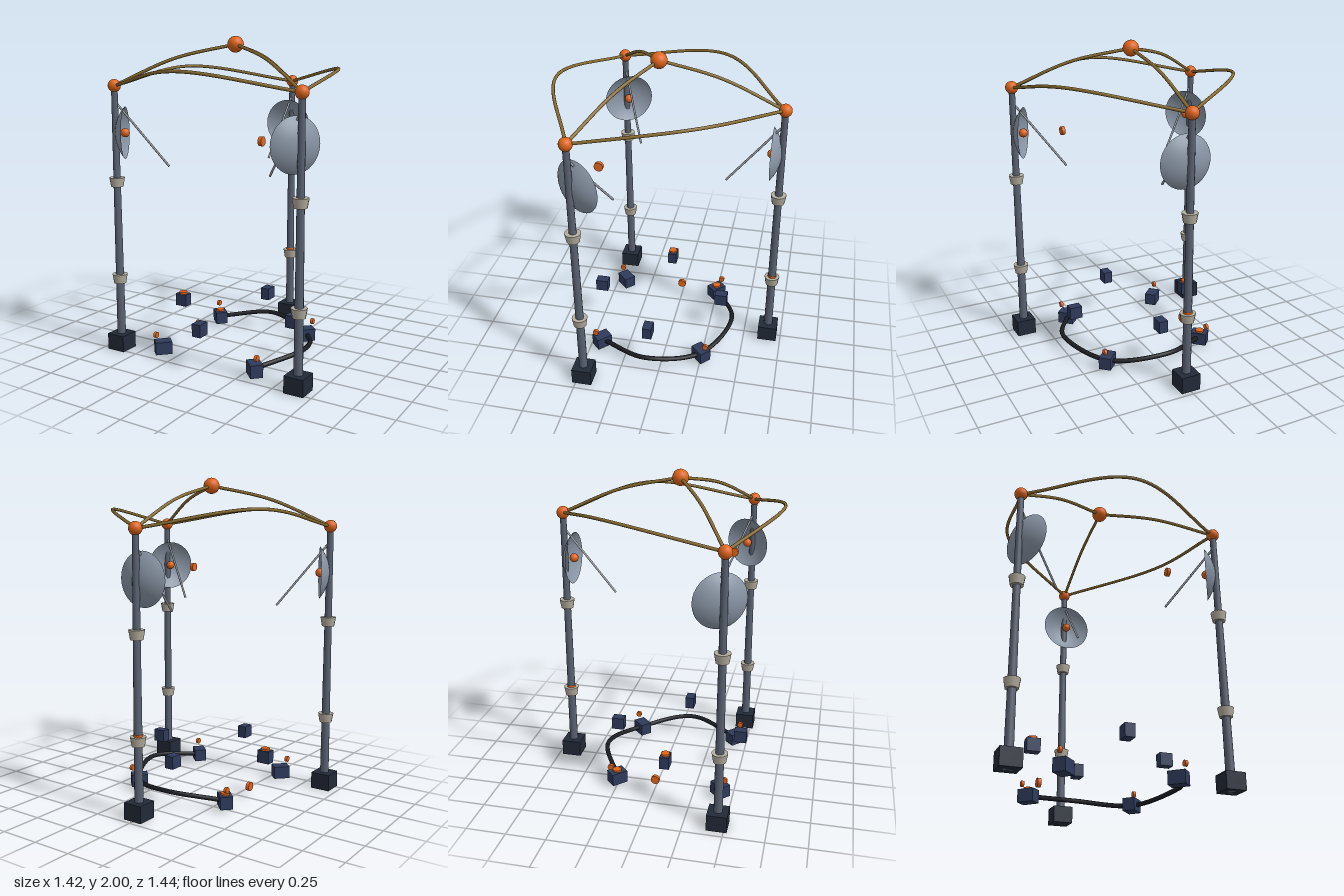
import * as THREE from 'three';

const mat = (color, side = THREE.FrontSide) => new THREE.MeshStandardMaterial({ color, side });
const V = (x, y, z) => new THREE.Vector3(x, y, z);

export function createModel() {
  const model = new THREE.Group();
  const CZ = 0.085; // z of the tripod's centre
  const orange = mat(0xe0651c), steel = mat(0x5a6272), dark = mat(0x222a38);
  const cream = mat(0xb5afa0), gold = mat(0x8a6d32), navy = mat(0x2f3b5c);
  const rodMat = mat(0x9a9ea4), cableMat = mat(0x1a1d22);
  const dishMat = mat(0x8a96a6, THREE.DoubleSide);

  const add = (name, geo, material, pos, parent = model) => {
    const m = new THREE.Mesh(geo, material);
    m.name = name;
    m.position.copy(pos);
    parent.add(m);
    return m;
  };
  const tube = (name, points, r, material, steps = 40, parent = model) =>
    add(name, new THREE.TubeGeometry(new THREE.CatmullRomCurve3(points), steps, r, 8), material, V(0, 0, 0), parent);
  // point at an angle around the centre, 0 = back, turning towards the left
  const polar = (a, r, y) => V(Math.sin(a) * r, y, CZ - Math.cos(a) * r);

  // Three masts, each with base, collars, dish and strut
  const R = 0.746, step = Math.PI * 2 / 3;
  const apex = V(0, 1.95, CZ);
  for (let i = 0; i < 3; i++) {
    const a = i * step;
    const mast = new THREE.Group();
    mast.name = 'mast';
    model.add(mast);
    const at = (inward, y) => polar(a, R - inward, y);

    add('mastBase', new THREE.BoxGeometry(0.125, 0.105, 0.125), dark, at(0, 0.0525), mast);
    add('mastPole', new THREE.CylinderGeometry(0.02, 0.028, 1.7, 12), steel, at(0, 0.85), mast);
    for (const y of [0.472, 1.1])
      add('collar', new THREE.CylinderGeometry(0.049, 0.039, 0.058, 12), cream, at(0, y), mast);
    add('topJoint', new THREE.SphereGeometry(0.04, 20, 14), orange, at(0, 1.7), mast);

    // Dish: a spherical cap opening towards the centre
    const cap = new THREE.SphereGeometry(0.25, 32, 10, 0, Math.PI * 2, 0, 0.71);
    cap.translate(0, -0.25, 0).rotateX(-Math.PI / 2).rotateY(-a);
    add('dish', cap, dishMat, at(0, 1.41), mast);
    add('dishFeed', new THREE.SphereGeometry(0.028, 16, 12), orange, at(0.06, 1.41), mast);
    tube('dishStrut', [at(0, 1.605), at(0.33, 1.2)], 0.007, rodMat, 1, mast);

    // Roof ribs: one to the apex, one bowed out to the next mast
    tube('roofRib', [at(0, 1.7), at(R / 2, 1.865), apex], 0.01, gold);
    tube('rimRib', [at(0, 1.7), polar(a + step / 2, 0.625, 1.805), polar(a + step, R, 1.7)], 0.01, gold);
  }
  add('apexJoint', new THREE.SphereGeometry(0.05, 24, 16), orange, apex);

  // Ring of eight boxes: raised on the axes, low and larger on the diagonals
  for (let i = 0; i < 8; i++) {
    const a = i * Math.PI / 4, low = i % 2 === 1;
    const geo = low ? new THREE.BoxGeometry(0.078, 0.08, 0.105) : new THREE.BoxGeometry(0.06, 0.08, 0.082);
    const box = add('ringBox', geo, navy, polar(a, low ? 0.477 : 0.416, low ? 0.058 : 0.265));
    box.rotation.y = -a;
  }

  // Flat round buttons
  for (const p of [V(-0.416, 0.308, CZ), V(-0.338, 0.1, -0.253), V(0, 0.503, CZ - R)])
    add('button', new THREE.CylinderGeometry(0.028, 0.028, 0.02, 16), orange, p);

  // Sideways knobs
  const knob = (r, len, p) => {
    add('knob', new THREE.CylinderGeometry(r, r, len, 16).rotateZ(Math.PI / 2), orange, p);
  };
  for (const x of [-0.368, 0.368])
    for (const z of [-0.285, 0.453]) knob(0.019, 0.018, V(x, 0.14, z));
  knob(0.028, 0.022, V(-0.35, 0.075, 0.005));
  knob(0.028, 0.022, V(0.35, 1.41, 0.373));

  // Cable looping between three low boxes
  const cable = [];
  for (let i = -1; i <= 3; i++)
    cable.push(polar(i * Math.PI / 4, i % 2 ? 0.477 : 0.495, i % 2 ? 0.058 : 0.097));
  tube('cable', cable, 0.015, cableMat, 80);

  return model;
}
